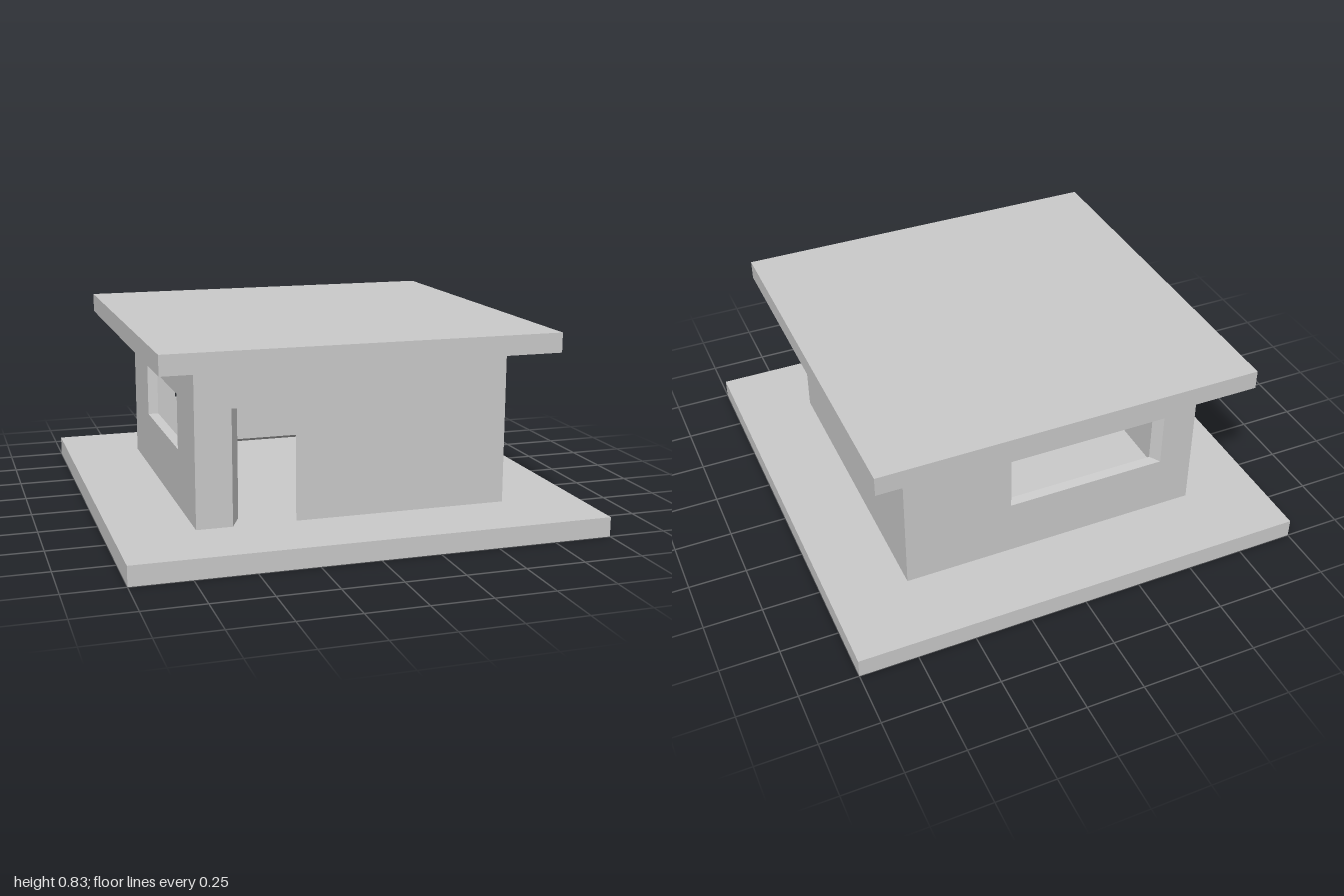
import * as THREE from 'three';

const HALF = 2 / 3;        // half width of the house, outside
const BOTTOM = 1 / 12, TOP = 0.75, MID = (BOTTOM + TOP) / 2;
const INNER = 0.9375;      // the inside faces are the outside ones scaled about the centre

const rect = (x0, x1, y0, y1) => [[x0, y0], [x1, y0], [x1, y1], [x0, y1]]
  .map(([x, y]) => new THREE.Vector2(x, y - MID));

// Mitred wall facing +z, with an optional window, turned about y
function makeWall(name, outline, window, turn, material) {
  const shape = new THREE.Shape(outline);
  if (window) shape.holes.push(new THREE.Path(window));
  const depth = HALF * (1 - INNER);
  const geometry = new THREE.ExtrudeGeometry(shape, { depth, bevelEnabled: false });
  const pos = geometry.attributes.position;
  for (let i = 0; i < pos.count; i++) {
    const inside = pos.getZ(i) < depth / 2;
    const s = inside ? INNER : 1;
    pos.setXYZ(i, pos.getX(i) * s, pos.getY(i) * s, HALF * s);
  }
  geometry.computeVertexNormals();
  const wall = new THREE.Mesh(geometry, material);
  wall.name = name;
  wall.position.y = MID;
  wall.rotation.y = turn;
  return wall;
}

function makeSlab(name, size, y, material) {
  const slab = new THREE.Mesh(new THREE.BoxGeometry(size, 1 / 12, size), material);
  slab.name = name;
  slab.position.y = y + 1 / 24;
  return slab;
}

export function createModel() {
  const grey = new THREE.MeshStandardMaterial({ color: 0xcccccc });
  grey.name = 'light grey';
  const house = new THREE.Group();
  house.name = 'house';

  house.add(makeSlab('groundSlab', 2, 0, grey));
  house.add(makeSlab('roof', 5 / 3, TOP, grey));

  // Walls: the doorway is a notch in the front wall
  const plain = rect(-HALF, HALF, BOTTOM, TOP);
  const doorway = rect(-0.515, -0.25, BOTTOM, 0.57);
  const front = [plain[0], doorway[0], doorway[3], doorway[2], doorway[1], ...plain.slice(1)];
  house.add(makeWall('frontWall', front, null, 0, grey));
  house.add(makeWall('leftWall', plain, null, Math.PI / 2, grey));
  house.add(makeWall('backWall', plain, rect(-0.195, 0.515, 0.333, 0.57), Math.PI, grey));
  house.add(makeWall('rightWall', plain, rect(-0.335, 0.335, 0.333, 0.57), -Math.PI / 2, grey));
  return house;
}
